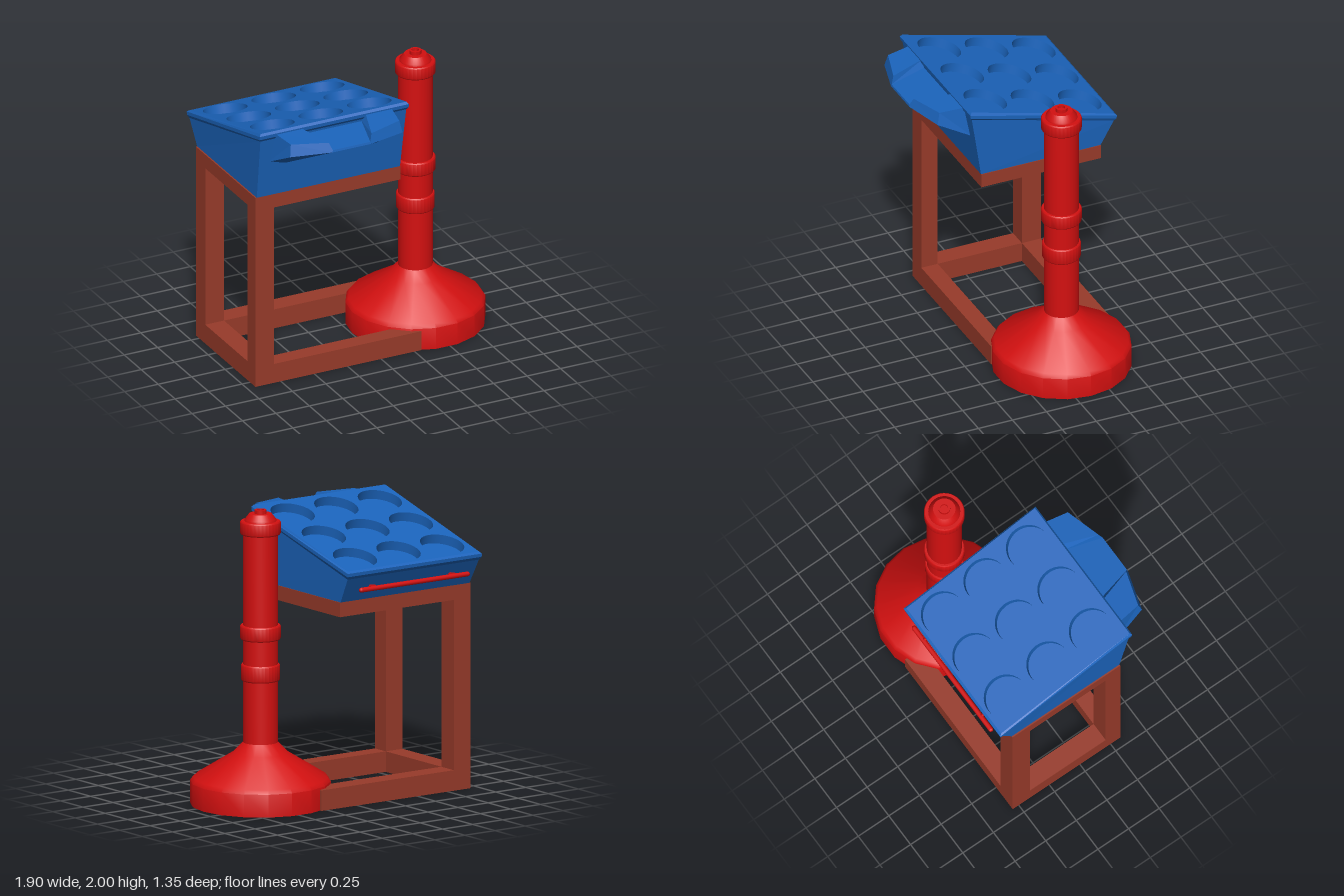
import * as THREE from 'three';
import { toCreasedNormals } from 'three/addons/utils/BufferGeometryUtils.js';

const paint = (color, extra = {}) => new THREE.MeshStandardMaterial({ color, ...extra });
const blue = paint(0x1b64bc, { flatShading: true });
const blueInside = paint(0x1b64bc, { side: THREE.BackSide });
const red = paint(0xd41010, { side: THREE.DoubleSide });
const brown = paint(0x983b2a);

const CX = -0.395; // middle of the cabinet in x

function add(parent, name, geometry, material, x = 0, y = 0, z = 0) {
  const mesh = new THREE.Mesh(geometry, material);
  mesh.name = name;
  mesh.position.set(x, y, z);
  parent.add(mesh);
  return mesh;
}

// Box given by its minimum and maximum corners
function block(parent, name, [x0, y0, z0], [x1, y1, z1], material) {
  const geometry = new THREE.BoxGeometry(x1 - x0, y1 - y0, z1 - z0);
  return add(parent, name, geometry, material, (x0 + x1) / 2, (y0 + y1) / 2, (z0 + z1) / 2);
}

// Skin closed cross-sections of equal point count, optionally capping the ends
function skin(sections, capped) {
  const out = [];
  const tri = (a, b, c) => out.push(...a, ...b, ...c);
  const n = sections[0].length;
  for (let i = 0; i < sections.length - 1; i++) {
    for (let j = 0; j < n; j++) {
      const k = (j + 1) % n, s = sections[i], t = sections[i + 1];
      tri(s[j], s[k], t[k]);
      tri(s[j], t[k], t[j]);
    }
  }
  if (capped) {
    const s = sections[0], t = sections[sections.length - 1];
    for (let j = 1; j < n - 1; j++) {
      tri(s[0], s[j + 1], s[j]);
      tri(t[0], t[j], t[j + 1]);
    }
  }
  const geometry = new THREE.BufferGeometry();
  geometry.setAttribute('position', new THREE.Float32BufferAttribute(out, 3));
  geometry.computeVertexNormals();
  return geometry;
}

function lathe(profile, sides) {
  const points = profile.map(([r, y]) => new THREE.Vector2(r, y));
  return toCreasedNormals(new THREE.LatheGeometry(points, sides, Math.PI / 2), 0.65);
}

function buildFrame() {
  const frame = new THREE.Group();
  frame.name = 'frame';
  for (const [side, z0, z1] of [['front', 0.21, 0.33], ['back', -0.55, -0.41]]) {
    block(frame, side + 'BottomRail', [-0.94, 0, z0], [0.3, 0.14, z1], brown);
    block(frame, side + 'Post', [-0.94, 0.14, z0], [-0.8, 1.3, z1], brown);
  }
  block(frame, 'crossRail', [-0.94, 0, -0.41], [-0.8, 0.14, 0.21], brown);
  block(frame, 'topSlab', [-0.94, 1.3, -0.55], [0.145, 1.4, 0.33], brown);
  return frame;
}

function buildCabinet() {
  const cabinet = new THREE.Group();
  cabinet.name = 'cabinet';

  // Flared body ending in a chamfered lip: half width, front z/y, back z/y
  const rings = [
    [0.535, 0.33, 1.4, -0.55, 1.4],
    [0.545, 0.402, 1.85, -0.642, 1.572],
    [0.557, 0.415, 1.868, -0.657, 1.592],
    [0.557, 0.418, 1.893, -0.66, 1.615],
    [0.545, 0.405, 1.908, -0.645, 1.628],
  ].map(([w, zf, yf, zb, yb]) => [
    [CX - w, yf, zf], [CX + w, yf, zf], [CX + w, yb, zb], [CX - w, yb, zb],
  ]);
  add(cabinet, 'body', skin(rings, false), blue);

  // Sloping top with nine round wells
  const top = new THREE.Group();
  top.name = 'slopingTop';
  top.position.set(CX, 1.768, -0.12);
  top.rotation.x = -Math.PI / 2 - Math.atan2(0.28, 1.05);
  cabinet.add(top);
  const w = 0.545, h = Math.hypot(1.05, 0.28) / 2, r = 0.15, depth = 0.065;
  const plate = new THREE.Shape([
    new THREE.Vector2(-w, -h), new THREE.Vector2(w, -h),
    new THREE.Vector2(w, h), new THREE.Vector2(-w, h),
  ]);
  const wall = new THREE.CylinderGeometry(r, r, depth, 32, 1, true).rotateX(Math.PI / 2);
  const floor = new THREE.CircleGeometry(r, 32);
  for (let i = -1; i <= 1; i++) {
    for (let j = -1; j <= 1; j++) {
      const x = i * 0.362, y = j * 0.36 + 0.01;
      plate.holes.push(new THREE.Path().absarc(x, y, r, 0, Math.PI * 2, true));
      add(top, 'wellWall', wall, blueInside, x, y, -depth / 2);
      add(top, 'wellFloor', floor, blue, x, y, -depth);
    }
  }
  add(top, 'topPlate', new THREE.ShapeGeometry(plate, 16), blue);

  // Front tray: sections run across x as wall bottom, wall top, front top, front bottom
  const half = [
    [[-0.855, 1.665, 0.36], [-0.83, 1.885, 0.39], [-0.8, 1.872, 0.575], [-0.815, 1.79, 0.595]],
    [[-0.74, 1.63, 0.36], [-0.64, 1.885, 0.39], [-0.555, 1.865, 0.65], [-0.54, 1.8, 0.675]],
    [[-0.74, 1.63, 0.36], [-0.61, 1.835, 0.39], [-0.535, 1.815, 0.672], [-0.54, 1.8, 0.675]],
  ];
  const mirrored = half.map((s) => s.map(([x, y, z]) => [2 * CX - x, y, z])).reverse();
  add(cabinet, 'frontTray', skin([...half, ...mirrored], true), blue);

  // Bar on two short studs at the back
  const bar = new THREE.CapsuleGeometry(0.017, 0.88, 4, 10).rotateZ(Math.PI / 2);
  add(cabinet, 'backBar', bar, red, CX, 1.49, -0.655);
  const stud = new THREE.CylinderGeometry(0.011, 0.011, 0.09, 10).rotateX(Math.PI / 2 + 0.15);
  for (const side of [-1, 1]) {
    add(cabinet, 'barStud', stud, red, CX + side * 0.33, 1.497, -0.612);
  }
  return cabinet;
}

function buildPillar() {
  const pillar = new THREE.Group();
  pillar.name = 'pillar';
  pillar.position.set(0.475, 0, -0.105);

  // Hollow bell-shaped foot
  add(pillar, 'foot', lathe([
    [0.47, 0], [0.47, 0.155], [0.45, 0.182], [0.185, 0.348], [0.117, 0.42],
  ], 18), red);
  add(pillar, 'pole', lathe([[0.117, 0.42], [0.117, 1.86]], 32), red);

  // Collars with slightly bevelled edges
  for (const [y0, y1, r] of [[0.84, 0.952, 0.13], [1.12, 1.217, 0.136], [1.835, 1.925, 0.136]]) {
    add(pillar, 'collar', lathe([
      [0.11, y0], [r - 0.006, y0], [r, y0 + 0.008], [r, y1 - 0.008], [r - 0.006, y1], [0.1, y1],
    ], 32), red);
  }

  // Stepped cap with a small dished knob
  add(pillar, 'cap', lathe([
    [0.108, 1.92], [0.105, 1.937], [0.075, 1.975], [0.04, 1.975],
    [0.04, 2], [0.025, 2], [0.025, 1.98], [0, 1.98],
  ], 32), red);
  return pillar;
}

export function createModel() {
  const model = new THREE.Group();
  model.name = 'standWithPillar';
  model.add(buildFrame(), buildCabinet(), buildPillar());
  return model;
}
